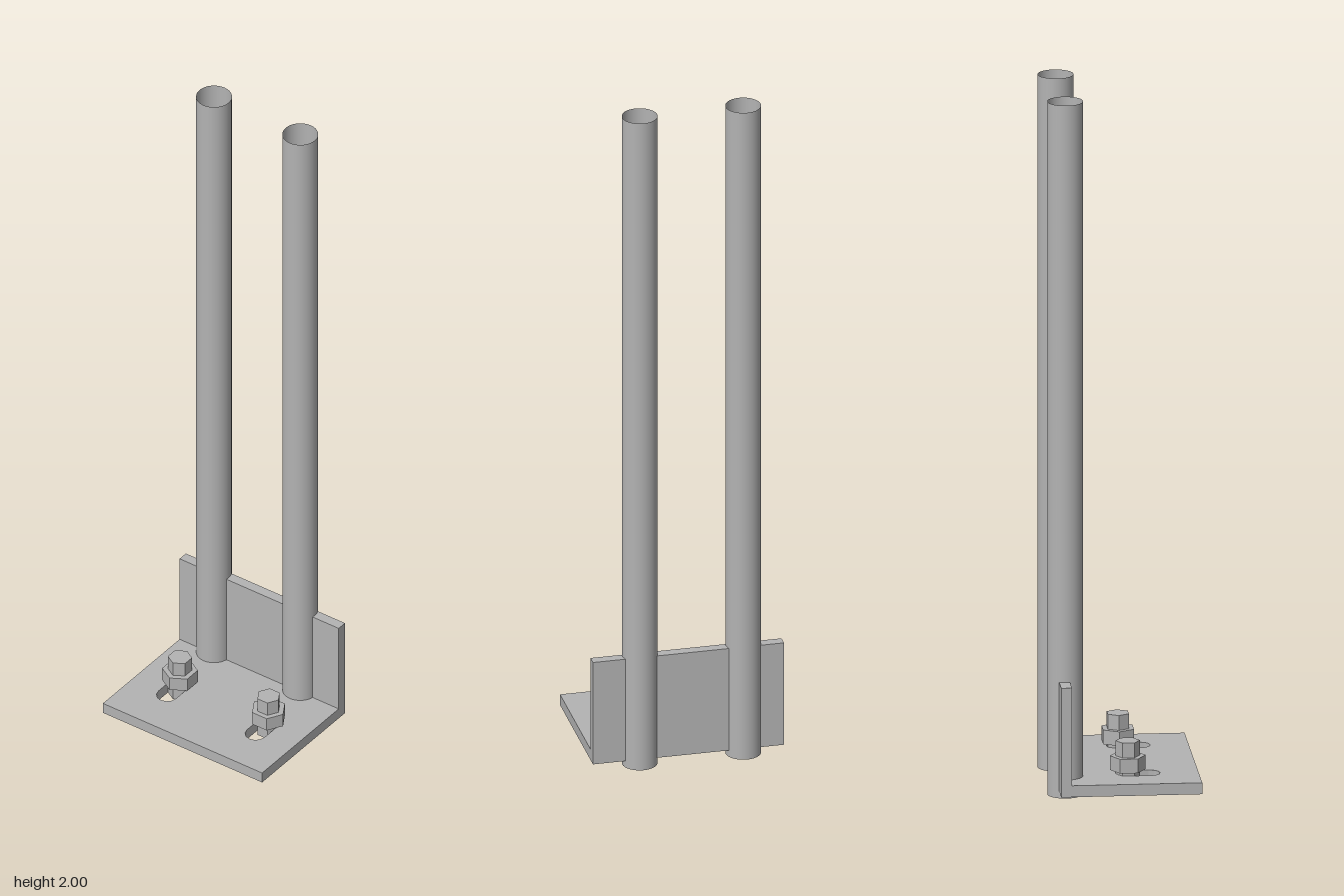
import * as THREE from 'three';

export function createModel() {
  const model = new THREE.Group();
  const steel = new THREE.MeshStandardMaterial({ color: 0xb3b3b3, side: THREE.DoubleSide });
  steel.name = 'steelGrey';

  function add(name, geometry, x, y, z, parent = model) {
    const mesh = new THREE.Mesh(geometry, steel);
    mesh.name = name;
    mesh.position.set(x, y, z);
    parent.add(mesh);
    return mesh;
  }

  // Bracket: slotted base plate and upright back plate
  const minX = -0.274, maxX = 0.274, backZ = -0.183, frontZ = 0.212;
  const baseBottom = 0.02, baseTop = 0.053;
  const boltXs = [-0.152, 0.153];

  const plate = new THREE.Shape([
    new THREE.Vector2(minX, backZ), new THREE.Vector2(maxX, backZ),
    new THREE.Vector2(maxX, frontZ), new THREE.Vector2(minX, frontZ),
  ]);
  for (const x of boltXs) {
    const slot = new THREE.Path();
    const r = 0.03;
    slot.absarc(x, 0.075, r, 0, Math.PI, false);
    slot.absarc(x, 0.012, r, Math.PI, Math.PI * 2, false);
    slot.closePath();
    plate.holes.push(slot);
  }
  const baseGeometry = new THREE.ExtrudeGeometry(plate, {
    depth: baseTop - baseBottom, bevelEnabled: false, curveSegments: 3,
  });
  baseGeometry.rotateX(Math.PI / 2);
  add('basePlate', baseGeometry, 0, baseTop, 0);

  const uprightHeight = 0.335 - baseTop;
  add('backPlate', new THREE.BoxGeometry(maxX - minX, uprightHeight, 0.03),
    0, baseTop + uprightHeight / 2, backZ + 0.015);

  // Two thin open tubes running through the back of the bracket
  for (const [name, x] of [['rightTube', -0.162], ['leftTube', 0.135]]) {
    add(name, new THREE.CylinderGeometry(0.05, 0.05, 2, 32, 1, true), x, 1, -0.162);
  }

  // Flat-sided hexagonal prism standing between two heights
  function hexPrism(radius, bottom, top) {
    const g = new THREE.CylinderGeometry(radius, radius, top - bottom, 6).toNonIndexed();
    g.computeVertexNormals();
    return g.translate(0, (top + bottom) / 2, 0);
  }

  // Bolts with nuts, the left one turned by half a facet
  boltXs.forEach((x, i) => {
    const bolt = new THREE.Group();
    bolt.name = i === 0 ? 'rightBolt' : 'leftBolt';
    bolt.position.set(x, 0, 0.014);
    bolt.rotation.y = i * Math.PI / 6;
    add('boltShank', hexPrism(0.034, baseBottom + 0.002, 0.148), 0, 0, 0, bolt);
    add('nut', hexPrism(0.05, 0.064, 0.105), 0, 0, 0, bolt);
    model.add(bolt);
  });

  return model;
}
